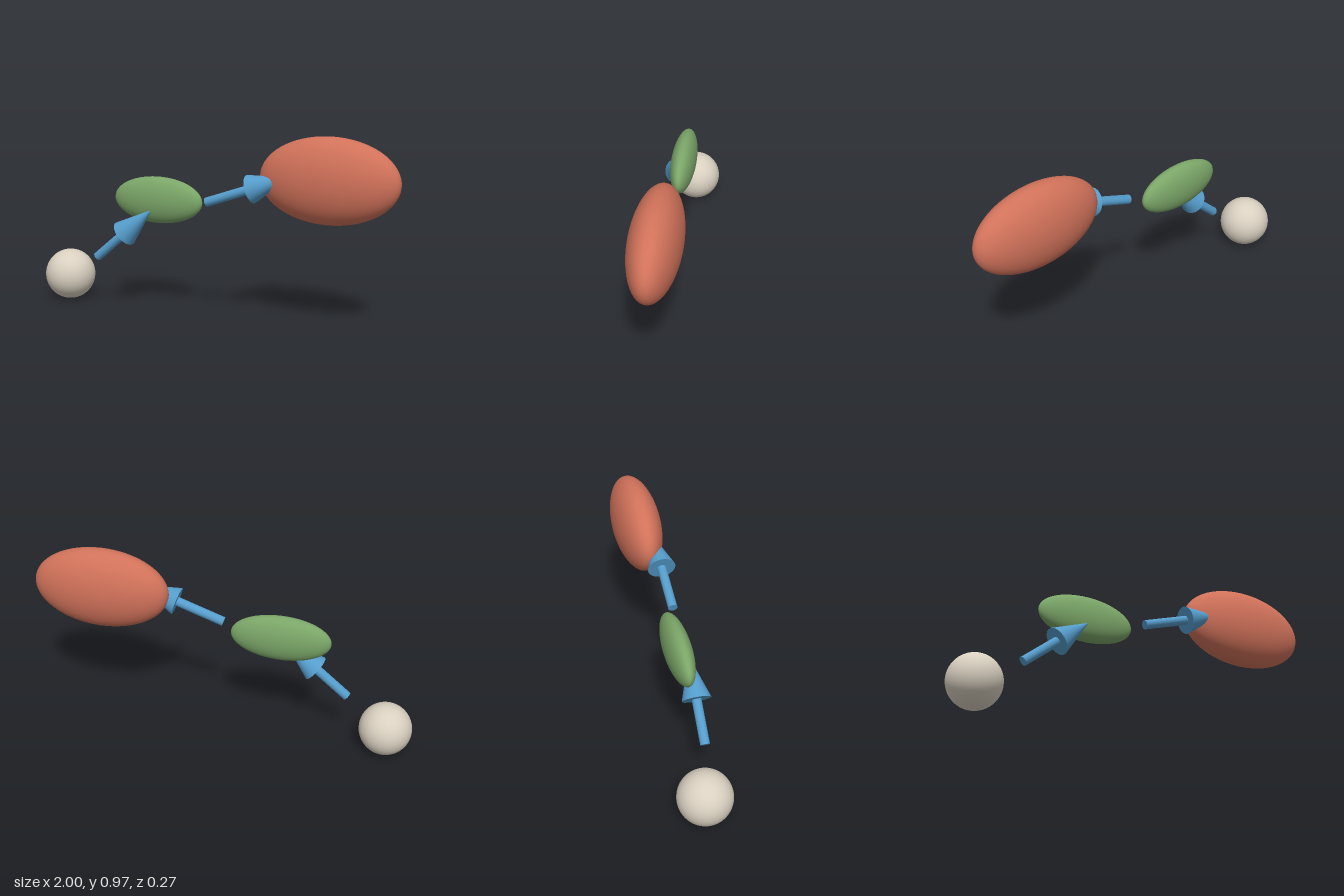
import * as THREE from 'three';

export function createModel() {
  const model = new THREE.Group();
  const paint = (name, color) => {
    const material = new THREE.MeshStandardMaterial({ color });
    material.name = name;
    return material;
  };
  const cream = paint('cream', 0xd9d0c0);
  const green = paint('green', 0x7ba668);
  const red = paint('terracotta', 0xd1725a);
  const blue = paint('blue', 0x559dcc);

  // Smooth ellipsoid from a scaled unit sphere
  function addEllipsoid(name, material, center, radii) {
    const geometry = new THREE.SphereGeometry(1, 64, 40).scale(...radii);
    const mesh = new THREE.Mesh(geometry, material);
    mesh.name = name;
    mesh.position.set(...center);
    model.add(mesh);
  }

  // Arrow built along +y from its tail, then tilted in the front plane
  function addArrow(name, tail, angle, shaftLength) {
    const headLength = 0.22;
    const arrow = new THREE.Group();
    arrow.name = name;
    const shaft = new THREE.Mesh(new THREE.CylinderGeometry(0.024, 0.024, shaftLength, 32), blue);
    shaft.name = 'arrowShaft';
    shaft.position.y = shaftLength / 2;
    const head = new THREE.Mesh(new THREE.ConeGeometry(0.073, headLength, 48), blue);
    head.name = 'arrowHead';
    head.position.y = shaftLength + headLength / 2;
    arrow.add(shaft, head);
    arrow.position.set(...tail);
    arrow.rotation.z = THREE.MathUtils.degToRad(angle - 90);
    model.add(arrow);
  }

  // Three bodies growing from sphere to large ellipsoid
  addEllipsoid('startSphere', cream, [-0.864, 0.137, 0], [0.136, 0.137, 0.136]);
  addEllipsoid('middleEllipsoid', green, [-0.303, 0.593, 0], [0.258, 0.123, 0.065]);
  addEllipsoid('endEllipsoid', red, [0.641, 0.755, 0], [0.359, 0.216, 0.125]);

  // Arrows leading from one body to the next, set slightly forward
  addArrow('firstArrow', [-0.65, 0.264, 0.055], 39.9, 0.223);
  addArrow('secondArrow', [0.008, 0.612, 0.055], 19, 0.26);

  return model;
}
